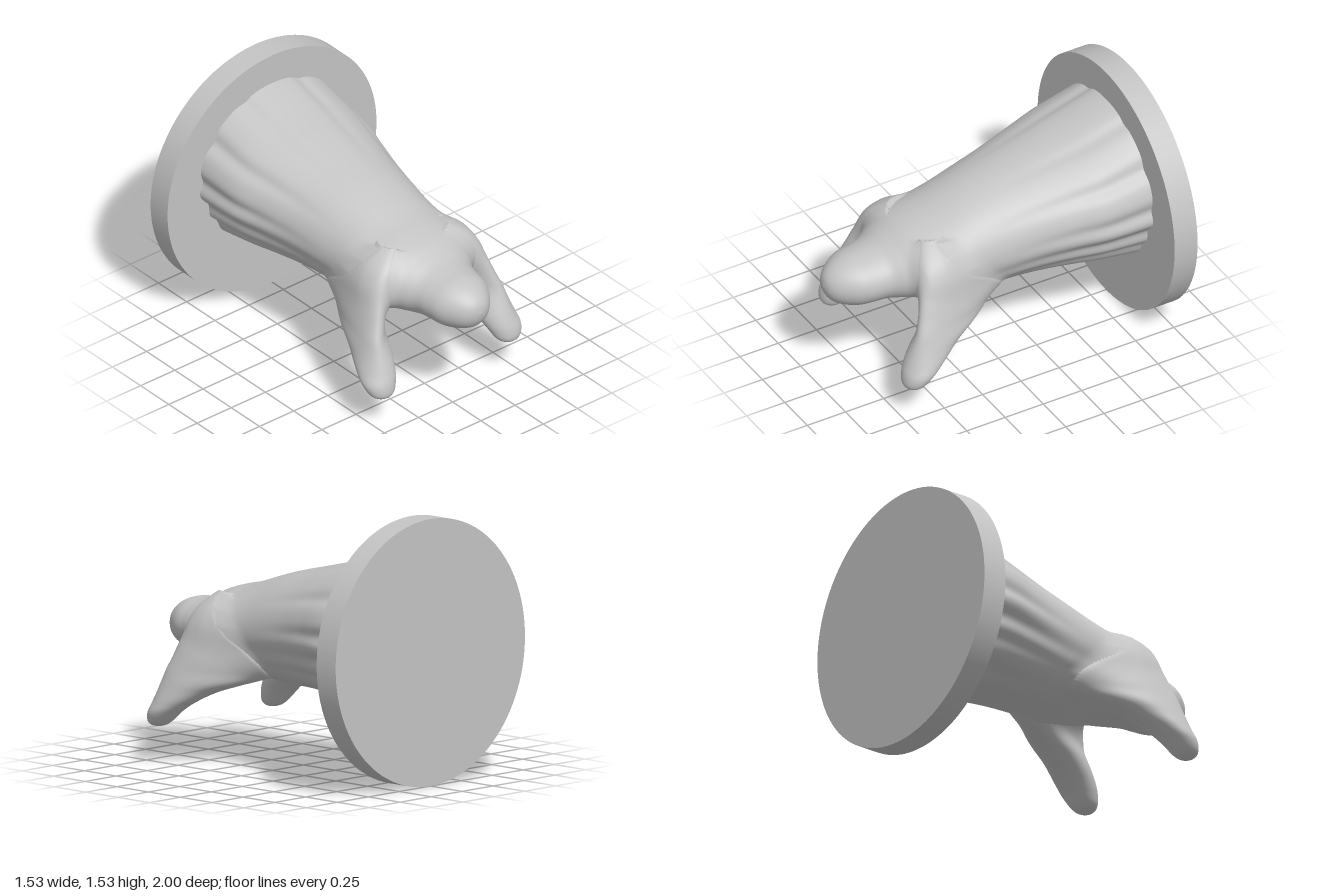
import * as THREE from 'three';

const { smoothstep, lerp, radToDeg } = THREE.MathUtils;

// Smooth interpolation through rows of numbers, u from 0 to 1
function sampleRows(rows, u) {
  const f = u * (rows.length - 1);
  const i = Math.min(Math.floor(f), rows.length - 2), t = f - i;
  const at = k => rows[Math.max(0, Math.min(rows.length - 1, k))];
  return rows[0].map((_, c) => {
    const [p, q, r, s] = [at(i - 1)[c], at(i)[c], at(i + 1)[c], at(i + 2)[c]];
    return q + 0.5 * t * (r - p + t * (2 * p - 5 * q + 4 * r - s + t * (3 * (q - r) + s - p)));
  });
}

// Row at a given first column, or null outside the table
function rowAt(rows, key) {
  const i = rows.findIndex(row => row[0] > key);
  if (i < 1) return null;
  const a = rows[i - 1], b = rows[i], t = (key - a[0]) / (b[0] - a[0]);
  return a.map((v, c) => lerp(v, b[c], t));
}

// Closed skin over rings; ring(row, angle) returns a point
function loft(rows, steps, sides, ring) {
  const pos = [], index = [];
  for (let i = 0; i <= steps; i++) {
    const row = sampleRows(rows, i / steps);
    for (let j = 0; j < sides; j++) pos.push(...ring(row, (j / sides) * Math.PI * 2));
  }
  for (let i = 0; i < steps; i++) {
    for (let j = 0; j < sides; j++) {
      const k = (j + 1) % sides;
      const a = i * sides + j, b = i * sides + k, c = a + sides, d = b + sides;
      index.push(a, b, c, b, d, c);
    }
  }
  const geo = new THREE.BufferGeometry();
  geo.setAttribute('position', new THREE.Float32BufferAttribute(pos, 3));
  geo.setIndex(index);
  geo.computeVertexNormals();
  return geo;
}

// Swell a skin where it meets another part, to make a soft fillet
function fillet(geo, distance, reach) {
  const p = geo.attributes.position, n = geo.attributes.normal;
  for (let i = 0; i < p.count; i++) {
    const d = Math.abs(distance(p.getX(i), p.getY(i), p.getZ(i)));
    if (d >= reach) continue;
    const push = (reach / 4) * (1 - d / reach) ** 2;
    p.setXYZ(i, p.getX(i) + n.getX(i) * push, p.getY(i) + n.getY(i) * push, p.getZ(i) + n.getZ(i) * push);
  }
  geo.computeVertexNormals();
  return geo;
}

// Rough distance from a point to an ellipse
function ellipseDistance(dx, dy, rx, ry) {
  const r = Math.max(Math.hypot(dx / rx, dy / ry), 1e-6);
  return Math.hypot(dx, dy) * (1 - 1 / r);
}

// Cloth creases: angle in degrees, width, depth, z where the crease fades out
const CREASES = [
  [68, 5, 0.03, 0.1], [34, 6, 0.05, 0.2], [3, 6, 0.055, 0.1],
  [-19, 8, 0.085, 0.4], [-36, 7, 0.06, 0.3], [-62, 7, 0.05, 0.1], [-90, 8, 0.06, 0],
];
function creaseScale(angle, z) {
  // fold the angle so both sides match
  const deg = radToDeg(Math.asin(Math.sin(angle)));
  let scale = 1.01;
  for (const [at, width, depth, end] of CREASES) {
    const fade = 1 - smoothstep(z, -0.85, end);
    scale -= depth * fade * Math.exp(-(((deg - at) / width) ** 2));
  }
  return scale;
}

// Sleeve, shoulders and head: z, half width, top, bottom
const BODY = [
  [-0.86, 0.53, 1.34, 0.375], [-0.6, 0.515, 1.262, 0.425], [-0.4, 0.465, 1.212, 0.45],
  [-0.2, 0.415, 1.162, 0.465], [0, 0.38, 1.113, 0.47], [0.15, 0.362, 1.068, 0.485],
  [0.3, 0.36, 1.018, 0.525], [0.42, 0.36, 0.99, 0.55], [0.52, 0.325, 0.96, 0.56],
  [0.6, 0.262, 0.923, 0.565], [0.67, 0.217, 0.893, 0.57], [0.75, 0.2, 0.877, 0.57],
  [0.83, 0.184, 0.868, 0.573], [0.9, 0.147, 0.845, 0.59], [0.955, 0.101, 0.81, 0.62],
  [0.988, 0.052, 0.768, 0.667], [1, 0, 0.718, 0.718],
];
function bodyRing([z, w, top, bottom], angle) {
  const s = creaseScale(angle, z);
  return [w * s * Math.cos(angle), (top + bottom) / 2 + ((top - bottom) / 2) * s * Math.sin(angle), z];
}
function bodyDistance(x, y, z) {
  const row = rowAt(BODY, z);
  if (!row) return Infinity;
  const [, w, top, bottom] = row;
  const h = (top - bottom) / 2, dy = y - (top + bottom) / 2;
  const s = creaseScale(Math.atan2(dy / h, Math.abs(x) / w), z);
  return ellipseDistance(x, dy, w * s, h * s);
}

// Arm, from tip up into the shoulder: y, inner x, outer x, back z, front z
const ARM = [
  [0.198, 0.46, 0.46, 0.685, 0.685], [0.207, 0.415, 0.508, 0.645, 0.726],
  [0.235, 0.38, 0.542, 0.605, 0.744], [0.29, 0.352, 0.56, 0.545, 0.738],
  [0.35, 0.325, 0.548, 0.46, 0.716], [0.42, 0.285, 0.525, 0.33, 0.686],
  [0.5, 0.225, 0.499, 0.12, 0.652], [0.6, 0.18, 0.465, 0, 0.615],
  [0.7, 0.14, 0.43, 0, 0.585], [0.8, 0.1, 0.39, 0.05, 0.55],
  [0.88, 0.06, 0.33, 0.13, 0.51], [0.95, 0.05, 0.22, 0.22, 0.45],
];
// The root is slanted so that its back runs into the sleeve
function armFrame([y, inner, outer, back, front]) {
  const r = (outer - inner) / 2, lean = 0.65 * smoothstep(y, 0.3, 0.55);
  return { xc: (inner + outer) / 2, rx: r * Math.sqrt(1 - lean * lean), shear: r * lean,
    zc: (back + front) / 2, rz: (front - back) / 2 };
}
const armRing = side => (row, angle) => {
  const { xc, rx, shear, zc, rz } = armFrame(row);
  const s = -side * Math.sin(angle);
  return [side * (xc + shear * s + rx * Math.cos(angle)), row[0], zc + rz * s];
};
function armDistance(x, y, z) {
  const row = rowAt(ARM, y);
  if (!row) return Infinity;
  const { xc, rx, shear, zc, rz } = armFrame(row);
  return ellipseDistance(Math.abs(x) - xc - (shear * (z - zc)) / rz, z - zc, rx, rz);
}

export function createModel() {
  const model = new THREE.Group();
  const grey = new THREE.MeshStandardMaterial({ color: 0xc4c4c4 });
  grey.name = 'plain grey';
  const add = (name, geo) => {
    const mesh = new THREE.Mesh(geo, grey);
    mesh.name = name;
    model.add(mesh);
    return mesh;
  };

  // Round plate standing upright behind the sleeve
  const plate = add('backPlate', new THREE.CylinderGeometry(0.764, 0.764, 0.15, 128));
  plate.rotation.x = Math.PI / 2;
  plate.position.set(0, 0.764, -0.925);

  // Creased sleeve running forward into the head
  add('sleeveAndHead', fillet(loft(BODY, 160, 180, bodyRing), armDistance, 0.12));

  // Mirrored arms
  add('leftArm', fillet(loft(ARM, 88, 80, armRing(1)), bodyDistance, 0.12));
  add('rightArm', fillet(loft(ARM, 88, 80, armRing(-1)), bodyDistance, 0.12));

  return model;
}
